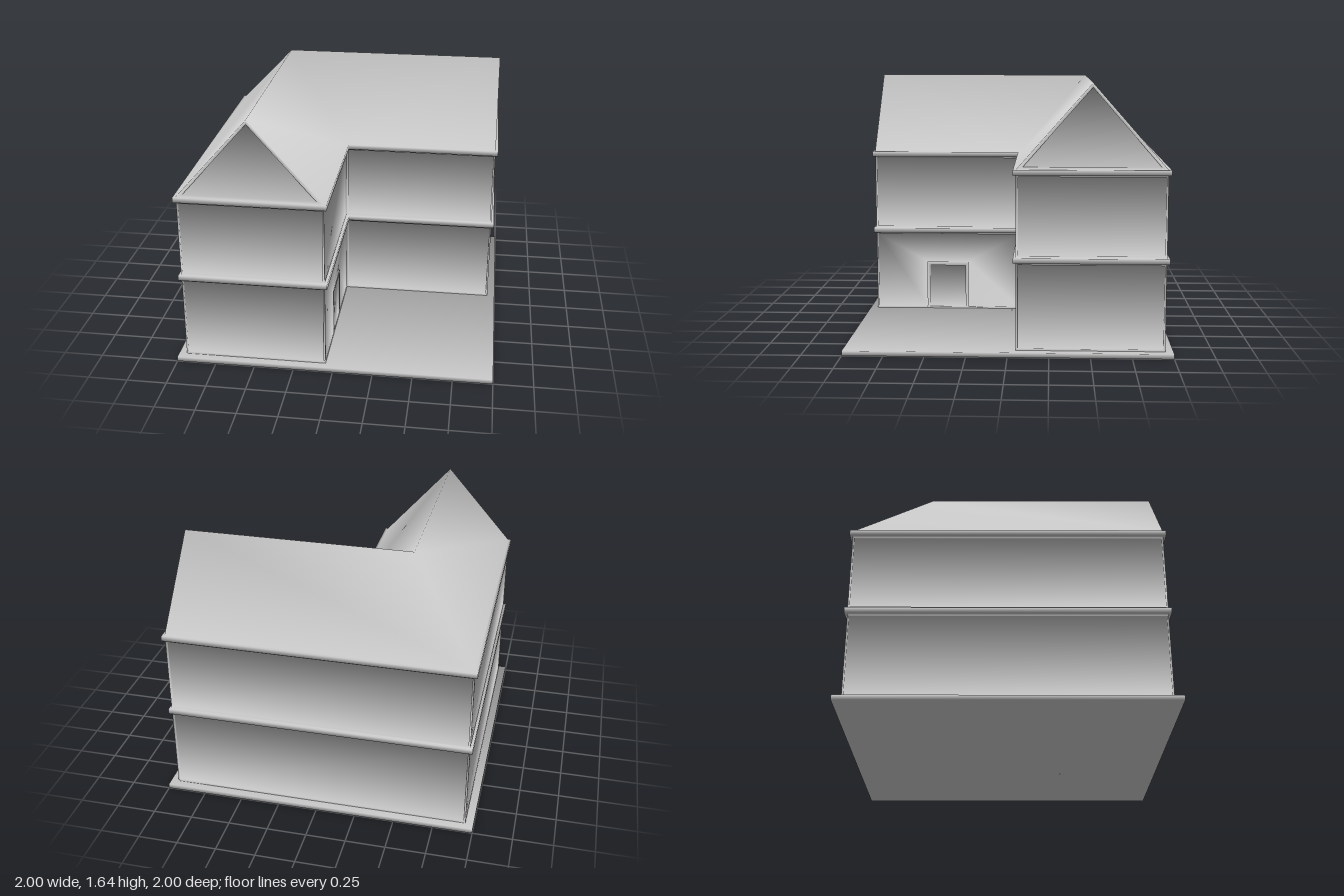
import * as THREE from 'three';

const mat = new THREE.MeshStandardMaterial({ color: 0xcccccc });

const OUT = 0.95;    // outer wall planes
const INN = -0.05;   // walls facing the courtyard
const RIDGE = -0.5;
const EAVE = 1.13, TOP = 1.64;

const rect = (x0, x1, y0, y1) => [[x0, y0], [x1, y0], [x1, y1], [x0, y1]];

// L-shaped footprint grown by an offset
function footprint(o) {
  const a = OUT + o, b = INN + o;
  return [[-a, -a], [b, -a], [b, -b], [a, -b], [a, a], [-a, a]];
}

// Split a four-cornered face into two triangles
const quad = (a, b, c, d) => [a, b, c, a, c, d].flat();

// Flat face at height z with optional holes, facing +z, or -z when flipped
function sheet(outer, holes, z, flip = false) {
  const toPath = (Type, pts) => new Type(pts.map(([x, y]) => new THREE.Vector2(x, y)));
  const shape = toPath(THREE.Shape, outer);
  shape.holes = holes.map((pts) => toPath(THREE.Path, pts));
  const geo = new THREE.ShapeGeometry(shape).toNonIndexed().translate(0, 0, z);
  const flat = Array.from(geo.attributes.position.array);
  if (!flip) return flat;
  const flipped = [];
  for (let i = 0; i < flat.length; i += 9) {
    flipped.push(...flat.slice(i, i + 3), ...flat.slice(i + 6, i + 9), ...flat.slice(i + 3, i + 6));
  }
  return flipped;
}

// Band of quads following an outline from z0 to z1
function strip(outline, z0, z1) {
  return outline.flatMap(([x, y], i) => {
    const [u, v] = outline[(i + 1) % outline.length];
    return quad([x, y, z0], [u, v, z0], [u, v, z1], [x, y, z1]);
  });
}

function toGeometry(coords) {
  const geo = new THREE.BufferGeometry();
  geo.setAttribute('position', new THREE.Float32BufferAttribute(coords, 3));
  return geo;
}

// Smooth normals weighted by corner angle, shared by all parts that touch at a point
function smooth(geometries) {
  const sums = new Map();
  const point = (pos, i) => new THREE.Vector3().fromBufferAttribute(pos, i);
  const key = (p) => p.toArray().map((v) => Math.round(v * 5000)).join();
  for (const geo of geometries) {
    const pos = geo.attributes.position;
    for (let i = 0; i < pos.count; i += 3) {
      const tri = [0, 1, 2].map((k) => point(pos, i + k));
      const normal = new THREE.Triangle(...tri).getNormal(new THREE.Vector3());
      tri.forEach((p, k) => {
        const e1 = tri[(k + 1) % 3].clone().sub(p), e2 = tri[(k + 2) % 3].clone().sub(p);
        const id = key(p);
        if (!sums.has(id)) sums.set(id, new THREE.Vector3());
        sums.get(id).addScaledVector(normal, e1.angleTo(e2));
      });
    }
  }
  for (const geo of geometries) {
    const pos = geo.attributes.position, normals = [];
    for (let i = 0; i < pos.count; i++) {
      normals.push(...sums.get(key(point(pos, i))).clone().normalize().toArray());
    }
    geo.setAttribute('normal', new THREE.Float32BufferAttribute(normals, 3));
  }
}

export function createModel() {
  const house = new THREE.Group();
  house.name = 'house';
  const add = (name, geo) => {
    const mesh = new THREE.Mesh(geo, mat);
    mesh.name = name;
    house.add(mesh);
  };
  const shell = [];
  const addShell = (name, geo) => {
    shell.push(geo);
    add(name, geo);
  };

  // Ground slab
  const slab = new THREE.BoxGeometry(2, 0.03, 2).toNonIndexed().translate(0, 0.015, 0);
  smooth([slab]);
  add('groundSlab', slab);

  // Ledges around the walls and under the eaves
  for (const [name, y0, y1] of [['middleLedge', 0.568, 0.6], ['eavesLedge', 1.098, EAVE]]) {
    const edge = footprint(0.017), wall = footprint(0);
    const coords = [sheet(edge, [wall], y0, true), strip(edge, y0, y1), sheet(edge, [wall], y1)].flat();
    addShell(name, toGeometry(coords).rotateX(-Math.PI / 2));
  }

  // Upright face with a flush border and recessed panels, turned and moved into place
  function recessedFace(name, outer, panels, depth, [x, z, turn]) {
    const place = (coords) => toGeometry(coords).rotateY(turn).translate(x, 0, z);
    addShell(name + 'Border', place(sheet(outer, panels.map((p) => p.outline), 0)));
    for (const { label, outline } of panels) {
      addShell(name + label, place([strip(outline, 0, -depth), sheet(outline, [], -depth)].flat()));
    }
  }

  // Two storeys of walls: name, width, then x, z and turn
  const mid = (OUT + INN) / 2, wing = OUT - INN, end = OUT + INN;
  const faces = [
    ['FrontWing', end, [RIDGE, OUT, 0]],
    ['CourtBack', wing, [mid, INN, 0]],
    ['CourtSide', wing, [INN, mid, Math.PI / 2]],
    ['RightWing', end, [OUT, RIDGE, Math.PI / 2]],
    ['Back', 2 * OUT, [0, -OUT, Math.PI]],
    ['Left', 2 * OUT, [-OUT, 0, -Math.PI / 2]],
  ];
  for (const [storey, y0, y1] of [['lower', 0.03, 0.568], ['upper', 0.6, 1.098]]) {
    for (const [name, width, placing] of faces) {
      const h = width / 2, t = 0.012;
      const panel = rect(-h + t, h - t, y0 + t, y1 - t);
      const panels = [{ label: 'Wall', outline: panel }];
      if (storey === 'lower' && name === 'CourtSide') {
        // The wall panel steps around the door frame, which holds the recessed door
        const a = -0.15, b = 0.14, sill = y0 + t;
        panel.splice(1, 0, [a, sill], [a, 0.36], [b, 0.36], [b, sill]);
        panels.push({ label: 'Door', outline: rect(a + 0.023, b - 0.023, sill, 0.335) });
      }
      recessedFace(storey + name, rect(-h, h, y0, y1), panels, 0.011, placing);
    }
  }

  // Roof: two ridges meeting in a hip outside and a valley inside
  const frontTop = [RIDGE, TOP, OUT], sideTop = [OUT, TOP, RIDGE], hip = [RIDGE, TOP, RIDGE];
  const valley = [INN, EAVE, INN], corner = [-OUT, EAVE, -OUT];
  const slopes = [
    quad([-OUT, EAVE, OUT], frontTop, hip, corner),
    quad(frontTop, [INN, EAVE, OUT], valley, hip),
    quad(valley, [OUT, EAVE, INN], sideTop, hip),
    quad(sideTop, [OUT, EAVE, -OUT], corner, hip),
  ];
  addShell('roof', toGeometry(slopes.flat()));

  // Gables: rim around a recessed triangle
  const half = end / 2, outer = [[-half, EAVE], [half, EAVE], [0, TOP]];
  const inner = [[-half + 0.04, EAVE + 0.014], [half - 0.04, EAVE + 0.014], [0, TOP - 0.028]];
  for (const [name, placing] of [['front', [RIDGE, OUT, 0]], ['right', [OUT, RIDGE, Math.PI / 2]]]) {
    recessedFace(name + 'Gable', outer, [{ label: 'Panel', outline: inner }], 0.02, placing);
  }

  smooth(shell);
  return house;
}
